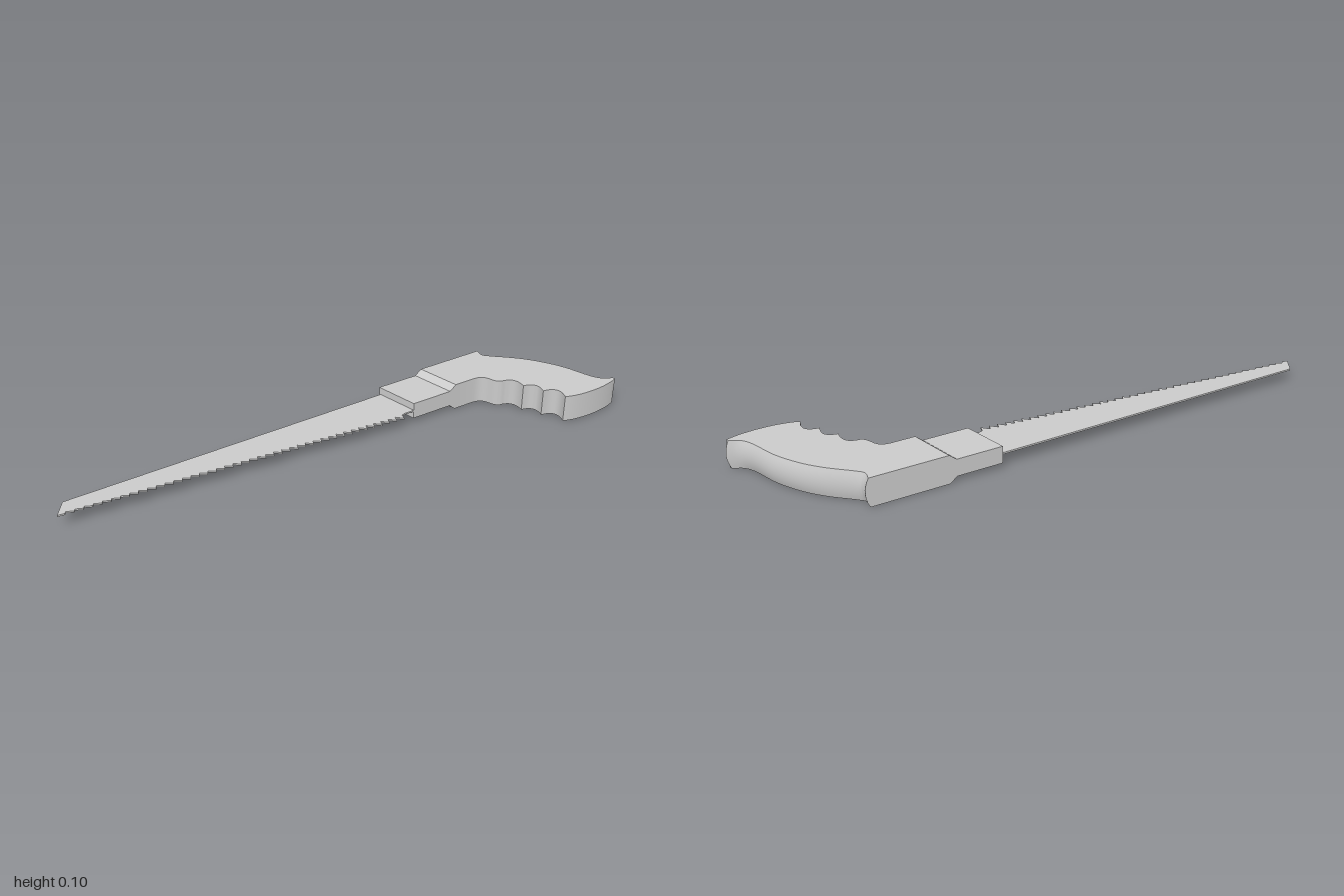
import * as THREE from 'three';
import { toCreasedNormals } from 'three/addons/utils/BufferGeometryUtils.js';

const material = new THREE.MeshStandardMaterial({ color: 0xcccccc });

// Extrude a plan outline (drawn with y = -z) upwards from a base height
function extrudePlan(shape, base, height, steps = 1) {
  const g = new THREE.ExtrudeGeometry(shape, { depth: height, steps, bevelEnabled: false, curveSegments: 10 });
  return g.rotateX(-Math.PI / 2).translate(0, base, 0);
}

function addMesh(group, name, geometry) {
  const mesh = new THREE.Mesh(geometry, material);
  mesh.name = name;
  group.add(mesh);
}

// Thin tapering blade with teeth that grow towards the heel
function bladeGeometry() {
  const s = new THREE.Shape();
  s.moveTo(0.3, 0.229);
  s.lineTo(-0.96, 0.215);
  s.lineTo(-1, 0.155);
  const teeth = 42;
  for (let i = 0; i < teeth; i++) {
    const t = (i + 1) / teeth;
    const x = -1 + 1.235 * t;
    const tip = 0.155 - 0.112 * t;
    const depth = 0.007 + 0.015 * t;
    s.lineTo(x - 0.006, tip);
    s.lineTo(x, tip + depth);
  }
  s.lineTo(0.25, 0.07);
  s.lineTo(0.3, 0.07);
  return extrudePlan(s, 0.047, 0.006);
}

// Neck: side profile with a ramp up to the grip, sheared so its end slants
function neckGeometry() {
  const half = [[0.253, 0.03], [0.414, 0.03], [0.439, 0.05], [0.46, 0.05]];
  const pts = [
    ...half.map(([x, h]) => new THREE.Vector2(x, 0.05 - h)),
    ...half.map(([x, h]) => new THREE.Vector2(x, 0.05 + h)).reverse(),
  ];
  const g = new THREE.ExtrudeGeometry(new THREE.Shape(pts), { depth: 0.165, bevelEnabled: false });
  g.translate(0, 0, -0.235);
  const p = g.attributes.position;
  for (let i = 0; i < p.count; i++) p.setX(i, p.getX(i) + 0.22 * (p.getZ(i) + 0.235));
  g.computeVertexNormals();
  return g;
}

// Pistol grip with finger scallops and a back edge that bulges at mid height
function gripGeometry() {
  const spine = new THREE.SplineCurve([
    [0.995, -0.202], [0.96, -0.182], [0.935, -0.14], [0.903, -0.045], [0.855, 0.042],
    [0.8, 0.11], [0.73, 0.175], [0.708, 0.202], [0.712, 0.235],
  ].map(([x, y]) => new THREE.Vector2(x, y))).getPoints(40);

  const s = new THREE.Shape();
  s.moveTo(0.46, 0.235);
  s.lineTo(0.439, 0.235);
  s.lineTo(0.4753, 0.07);
  s.lineTo(0.56, 0.07);
  s.bezierCurveTo(0.62, 0.065, 0.595, 0.015, 0.63, 0);
  s.quadraticCurveTo(0.69, -0.005, 0.675, -0.07);
  s.quadraticCurveTo(0.735, -0.08, 0.71, -0.138);
  s.quadraticCurveTo(0.78, -0.145, 0.748, -0.212);
  s.bezierCurveTo(0.8, -0.238, 0.92, -0.24, 0.99, -0.212);
  spine.forEach((p) => s.lineTo(p.x, p.y));

  const g = extrudePlan(s, 0, 0.1, 8);
  const p = g.attributes.position;
  for (let i = 0; i < p.count; i++) {
    const x = p.getX(i), z = p.getZ(i);
    if (!spine.some((q) => Math.hypot(q.x - x, -q.y - z) < 1e-4)) continue;
    const t = p.getY(i) / 0.05 - 1;
    p.setX(i, x + 0.005 - 0.013 * t * t);
  }
  return toCreasedNormals(g, 0.6);
}

export function createModel() {
  const group = new THREE.Group();
  group.name = 'handSaw';
  addMesh(group, 'blade', bladeGeometry());
  addMesh(group, 'neck', neckGeometry());
  addMesh(group, 'grip', gripGeometry());
  return group;
}
